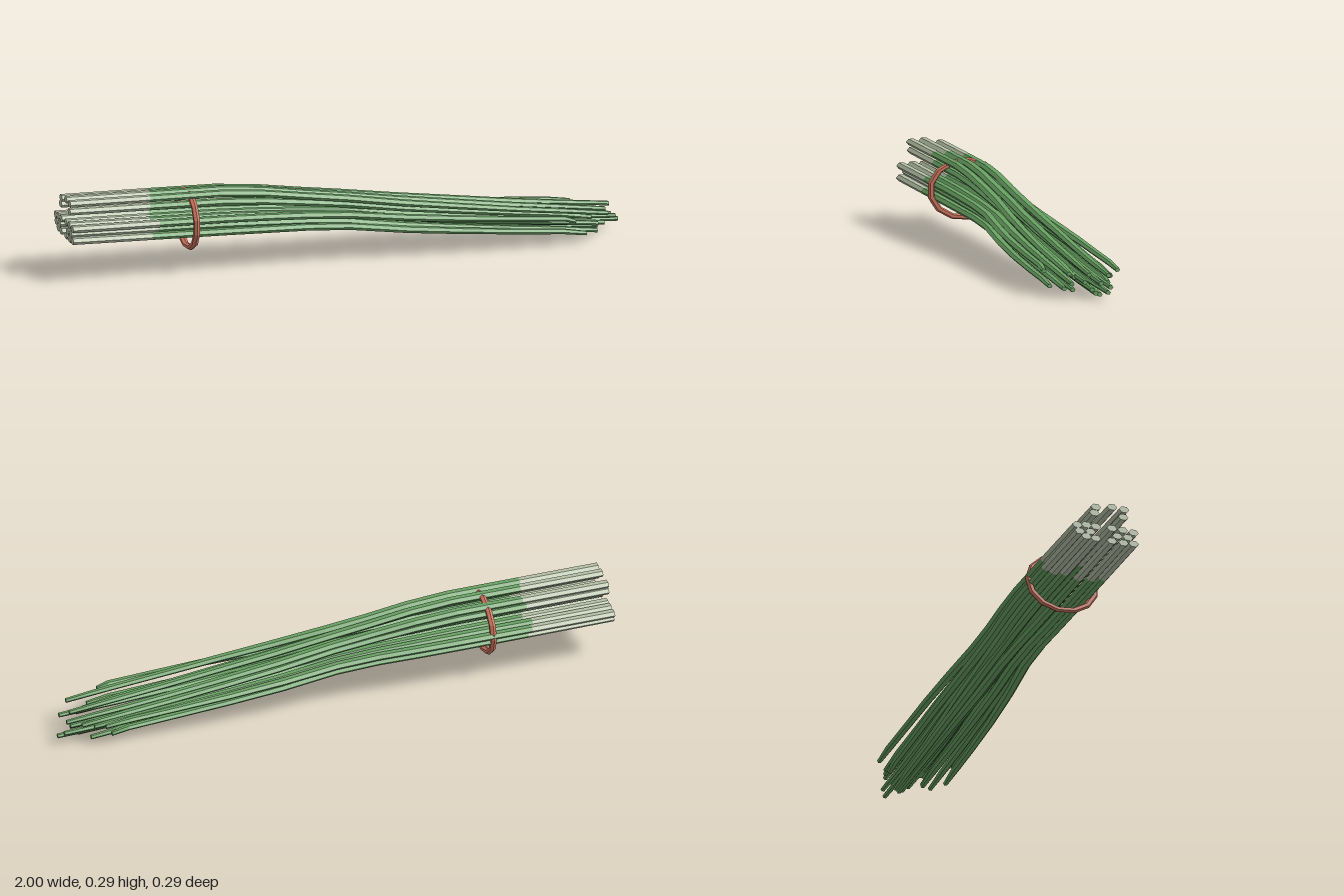
import * as THREE from 'three';

const mat = (name, color) => {
  const m = new THREE.MeshStandardMaterial({ color, flatShading: true });
  m.name = name;
  return m;
};

// Closed six-sided tube through sections [x, y, z, halfHeight, halfWidth] running along +x
function hexTube(sections) {
  const N = 6, pos = [], idx = [];
  for (const [x, y, z, h, w] of sections)
    for (let i = 0; i < N; i++) {
      const a = (i / N) * Math.PI * 2;
      pos.push(x, y + Math.sin(a) * h * 1.15, z + Math.cos(a) * w);
    }
  for (let s = 0; s < sections.length - 1; s++)
    for (let i = 0; i < N; i++) {
      const a = s * N + i, b = s * N + (i + 1) % N;
      idx.push(a, a + N, b, b, a + N, b + N);
    }
  const last = (sections.length - 1) * N;
  for (let i = 1; i < N - 1; i++) {
    idx.push(0, i, i + 1);
    idx.push(last, last + i + 1, last + i);
  }
  const g = new THREE.BufferGeometry();
  g.setAttribute('position', new THREE.Float32BufferAttribute(pos, 3));
  g.setIndex(idx);
  const flat = g.toNonIndexed();
  flat.computeVertexNormals();
  return flat;
}

// Each stalk: start z, start y, tip z, tip y, tip x
const STALKS = [
  [0.05, 0.279, 0.08, 0.095, 0.93], [0.005, 0.281, 0.01, 0.09, 0.94], [-0.055, 0.271, -0.05, 0.09, 0.97],
  [0.047, 0.25, 0.045, 0.075, 0.88], [-0.06, 0.248, -0.07, 0.08, 0.92],
  [0.085, 0.197, 0.13, 0.09, 0.80], [0.045, 0.2, 0.06, 0.055, 0.90], [0.005, 0.2, 0.035, 0.07, 0.97],
  [-0.055, 0.197, -0.03, 0.06, 0.95], [-0.09, 0.197, -0.085, 0.075, 0.88], [-0.124, 0.192, -0.12, 0.09, 0.85],
  [0.065, 0.175, 0.085, 0.038, 0.89], [0.025, 0.174, 0.0, 0.038, 0.94], [-0.075, 0.174, -0.055, 0.05, 0.98],
  [-0.115, 0.17, -0.095, 0.042, 0.82],
  [0.086, 0.155, 0.122, 0.042, 0.84], [0.048, 0.152, 0.045, 0.028, 0.86], [0.005, 0.152, -0.02, 0.022, 0.92],
  [-0.055, 0.152, -0.047, 0.011, 0.88], [-0.09, 0.154, -0.04, 0.035, 1.0],
];

// Shared droop: [x, share of fall (high stalks), share of fall (low stalks)]
const DROOP = [
  [-1, 0, 0], [-0.7, 0.02, 0.05], [-0.45, 0.04, 0.1], [-0.3, 0.11, 0.14], [-0.15, 0.23, 0.18], [0, 0.34, 0.26],
  [0.2, 0.5, 0.47], [0.4, 0.64, 0.63], [0.6, 0.78, 0.78], [0.76, 0.88, 0.89],
];

export function createModel() {
  const group = new THREE.Group();
  const pale = mat('pale stalk', 0xb4bfa5);
  const green = mat('leaf green', 0x69a163);
  const red = mat('band red', 0xcb745d);

  STALKS.forEach(([z0, y0, z1, y1, tip], n) => {
    const high = THREE.MathUtils.clamp((y0 - 0.15) / 0.13, 0, 1);
    const sections = DROOP.map(([x, a, b]) => {
      const fall = THREE.MathUtils.lerp(b, a, high);
      // gather towards the middle, then fan out to the tip
      const t = THREE.MathUtils.smoothstep(x, -0.5, 0.85);
      const pinch = 1 - 0.16 * Math.exp(-(((x + 0.05) / 0.25) ** 2));
      const size = 1 - 0.25 * THREE.MathUtils.smoothstep(x, 0, 0.8);
      return [x, y0 + (y1 - y0) * fall, THREE.MathUtils.lerp(z0, z1, t) * pinch, 0.011 * size, 0.019 * size];
    });
    sections.push([tip, y1, z1, 0.007, 0.009]);
    // ragged colour change between stalk base and leaf
    sections[1][0] = -0.7 + 0.012 * ((n % 3) - 1);

    const base = new THREE.Mesh(hexTube(sections.slice(0, 2)), pale);
    base.name = 'stalkBase' + n;
    const leaf = new THREE.Mesh(hexTube(sections.slice(1)), green);
    leaf.name = 'leaf' + n;
    group.add(base, leaf);
  });

  // Band around the bundle
  const ring = new THREE.TorusGeometry(0.122, 0.012, 6, 13);
  ring.scale(1.02, 0.82, 1);
  ring.rotateY(Math.PI / 2);
  const band = new THREE.Mesh(ring, red);
  band.name = 'band';
  band.position.set(-0.56, 0.176, -0.006);
  group.add(band);

  return group;
}
